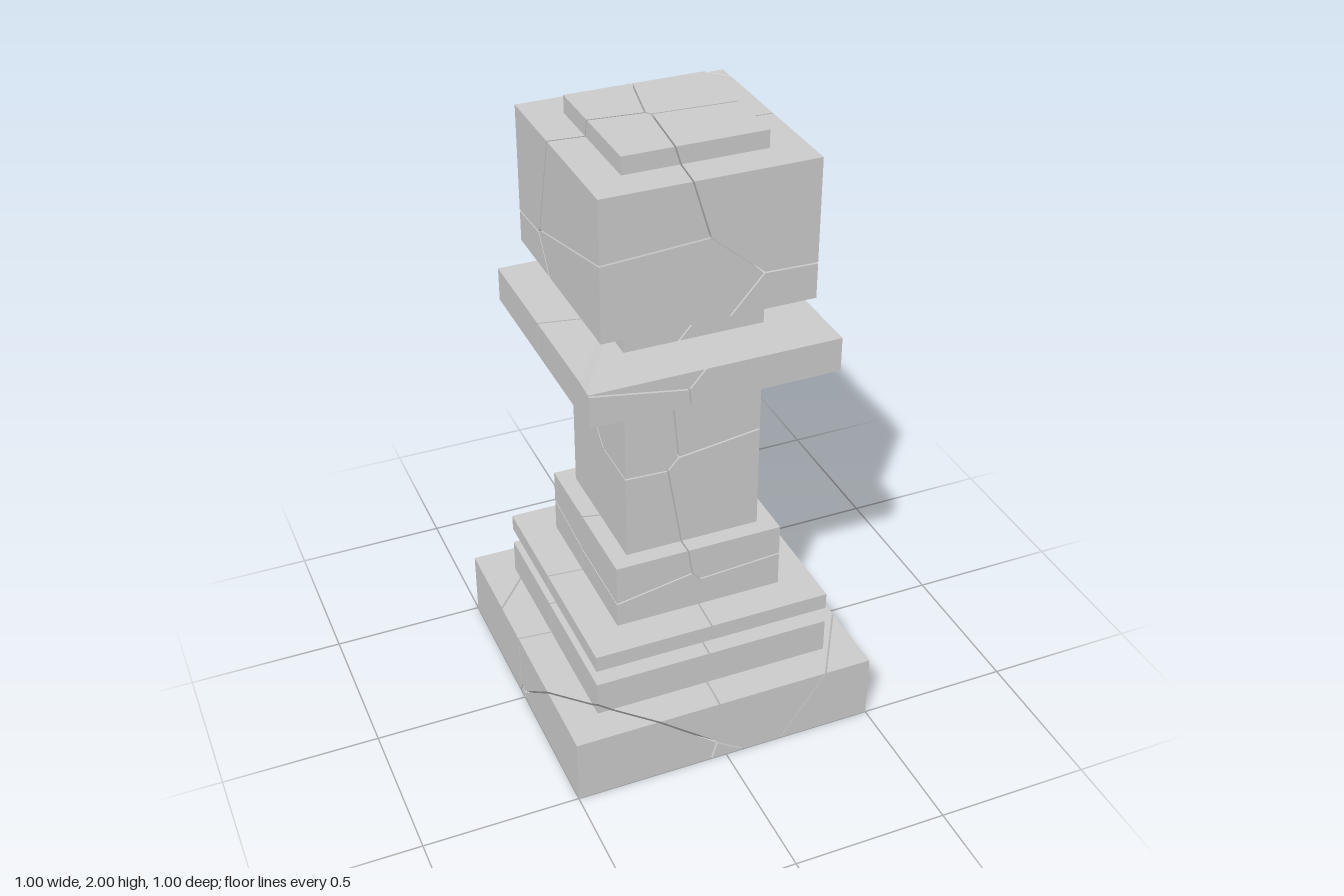
import * as THREE from 'three';
import { ConvexGeometry } from 'three/addons/geometries/ConvexGeometry.js';

const GAP = 0.0025; // half width of a crack

// square tiers of the stone piece: name, half width, bottom, top
const TIERS = [
  ['plinth', 0.5, 0, 0.22],
  ['lowerStep', 0.39, 0.22, 0.335],
  ['neckBand', 0.33, 0.335, 0.39],
  ['baseMoulding', 0.39, 0.39, 0.445],
  ['shaftFoot', 0.275, 0.445, 0.665],
  ['shaft', 0.22, 0.665, 1.28],
  ['collar', 0.39, 1.28, 1.39],
  ['neck', 0.22, 1.39, 1.505],
  ['head', 0.33, 1.505, 1.945],
  ['cap', 0.22, 1.945, 2],
];

// centres of the broken chunks; cracks run halfway between neighbours
const SITES = [
  // outer chunks of the plinth
  [-0.5, 0.08, -0.5], [0.62, 0.06, 0.46], [-0.5, 0.03, 0.47], [0.53, 0.08, -0.2],
  // foot
  [-0.24, 0.36, 0.2], [0.23, 0.33, 0.22], [-0.2, 0.34, -0.24], [0.2, 0.36, -0.2],
  [-0.05, -0.1, 0.06],
  // lower shaft
  [-0.3, 0.7, 0.2], [0.2, 0.78, 0.2], [-0.2, 0.76, -0.2], [0.22, 0.74, -0.2],
  // upper shaft and collar
  [-0.28, 1.2, 0.2], [0.14, 1.24, 0.22], [-0.2, 1.22, -0.22], [0.2, 1.22, -0.16],
  // head and cap
  [-0.22, 1.56, 0.24], [-0.24, 1.88, 0.16], [0.16, 2.0, 0.2], [-0.2, 2.0, -0.26],
  [0.18, 2.02, -0.18], [0.42, 1.85, -0.42], [0.2, 1.45, -0.3],
].map((s) => new THREE.Vector3(...s));

// corner points of the convex solid bounded by outward-facing planes
function cornersOf(planes) {
  const corners = [];
  const p = new THREE.Vector3();
  const bc = new THREE.Vector3(), ca = new THREE.Vector3(), ab = new THREE.Vector3();
  for (let i = 0; i < planes.length; i++) {
    for (let j = i + 1; j < planes.length; j++) {
      for (let k = j + 1; k < planes.length; k++) {
        const [a, b, c] = [planes[i], planes[j], planes[k]];
        bc.crossVectors(b.normal, c.normal);
        const det = a.normal.dot(bc);
        if (Math.abs(det) < 1e-6) continue;
        ca.crossVectors(c.normal, a.normal);
        ab.crossVectors(a.normal, b.normal);
        p.set(0, 0, 0)
          .addScaledVector(bc, -a.constant)
          .addScaledVector(ca, -b.constant)
          .addScaledVector(ab, -c.constant)
          .divideScalar(det);
        if (planes.every((q) => q.distanceToPoint(p) < 1e-6)
          && !corners.some((q) => q.distanceTo(p) < 1e-4)) corners.push(p.clone());
      }
    }
  }
  return corners;
}

// the six sides of a tier
function tierPlanes(half, bottom, top) {
  const plane = (x, y, z, d) => new THREE.Plane(new THREE.Vector3(x, y, z), -d);
  return [
    plane(1, 0, 0, half), plane(-1, 0, 0, half),
    plane(0, 0, 1, half), plane(0, 0, -1, half),
    plane(0, 1, 0, top), plane(0, -1, 0, -bottom),
  ];
}

// planes halfway to every other chunk, pulled in by the crack gap
function crackPlanes(site) {
  return SITES.filter((other) => other !== site).map((other) => {
    const normal = other.clone().sub(site).normalize();
    const middle = other.clone().add(site).multiplyScalar(0.5);
    return new THREE.Plane(normal, GAP - normal.dot(middle));
  });
}

export function createModel() {
  const model = new THREE.Group();
  model.name = 'crackedStonePawn';
  const stone = new THREE.MeshStandardMaterial({ color: 0xcccccc });

  for (const [name, half, bottom, top] of TIERS) {
    const tier = new THREE.Group();
    tier.name = name;
    for (const site of SITES) {
      const corners = cornersOf([...tierPlanes(half, bottom, top), ...crackPlanes(site)]);
      if (corners.length < 4) continue;
      const chunk = new THREE.Mesh(new ConvexGeometry(corners), stone);
      chunk.name = name + 'Chunk';
      tier.add(chunk);
    }
    model.add(tier);
  }
  return model;
}
